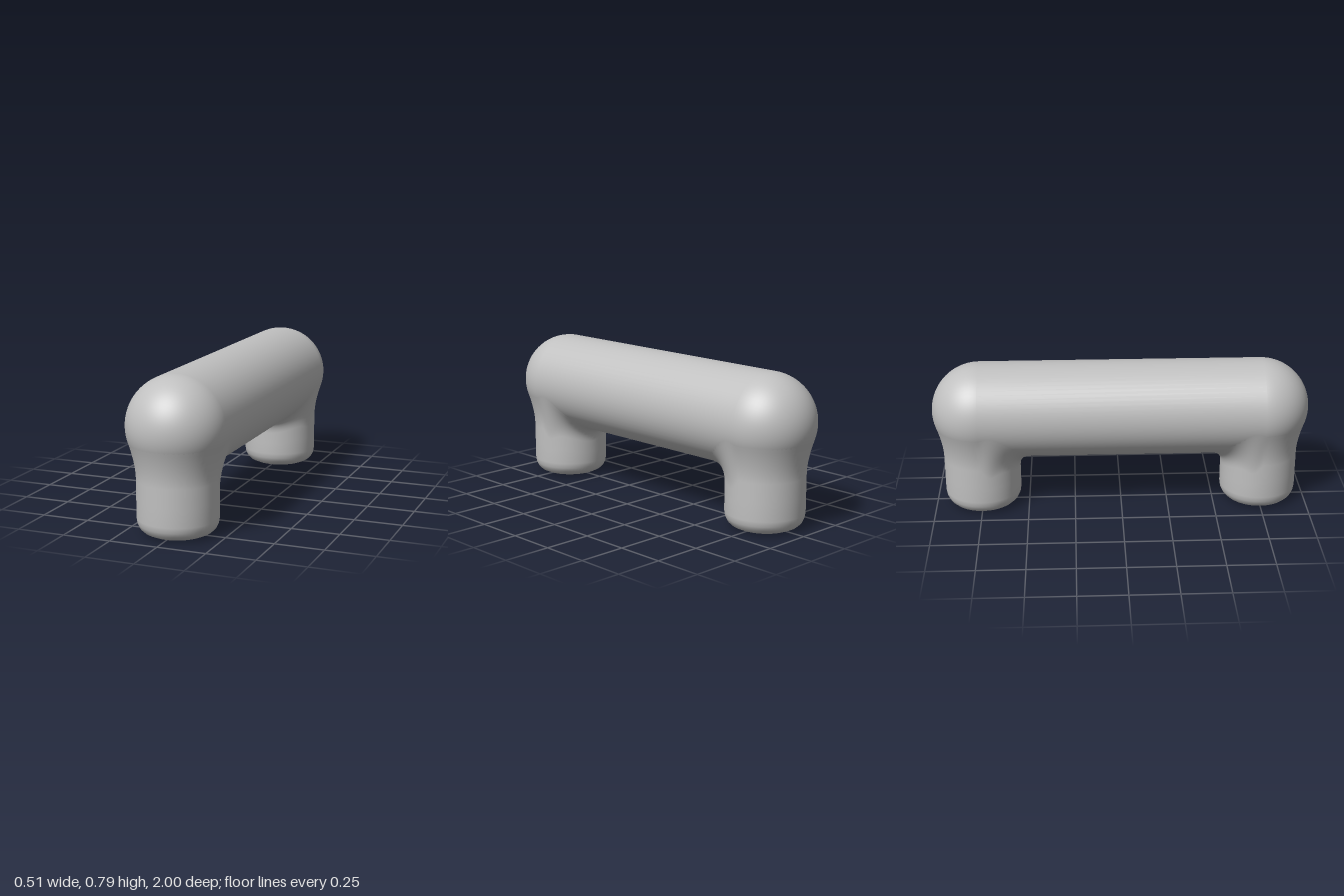
import * as THREE from 'three';

const R = 0.253;       // bar radius
const BAR_Y = 0.537;   // bar axis height
const END_Z = 0.747;   // centre of rounded ends and legs
const LEG_R = 0.204;
const SIDES = 64;

// Height of the bar's underside at radius r and angle a around the leg axis
function underside(r, a) {
  const x = r * Math.cos(a);
  const z = Math.max(0, r * Math.sin(a));
  return BAR_Y - Math.sqrt(Math.max(0, R * R - x * x - z * z));
}

// Points [radius, height] from the centre of the foot up to the bar
function legProfile(a) {
  const points = [[0, 0], [0.1, 0], [0.145, 0.002], [0.172, 0.014], [0.189, 0.03], [0.2, 0.053], [LEG_R, 0.08]];
  // fillet, wider on the inward side, tangent to both leg and bar
  const r1 = 0.24 + 0.05 * Math.max(0, -Math.sin(a));
  const y1 = underside(r1, a);
  const slope = (y1 - underside(r1 - 0.001, a)) / 0.001;
  const yc = y1 - slope * (r1 - LEG_R);
  const y0 = yc - 0.08;
  points.push([LEG_R, (0.08 + y0) / 2]);
  for (let k = 0; k <= 10; k++) {
    const t = k / 10, s = 1 - t;
    points.push([
      (s * s + 2 * s * t) * LEG_R + t * t * r1,
      s * s * y0 + 2 * s * t * yc + t * t * y1,
    ]);
  }
  return points;
}

function legGeometry() {
  const positions = [], index = [];
  let rows = 0;
  for (let j = 0; j < SIDES; j++) {
    const a = (j / SIDES) * Math.PI * 2;
    const profile = legProfile(a);
    rows = profile.length;
    for (const [r, y] of profile) positions.push(r * Math.cos(a), y, r * Math.sin(a));
  }
  for (let j = 0; j < SIDES; j++) {
    const p = j * rows, q = ((j + 1) % SIDES) * rows;
    for (let i = 0; i < rows - 1; i++) {
      if (i > 0) index.push(p + i, p + i + 1, q + i);
      index.push(q + i, p + i + 1, q + i + 1);
    }
  }
  const geometry = new THREE.BufferGeometry();
  geometry.setAttribute('position', new THREE.Float32BufferAttribute(positions, 3));
  geometry.setIndex(index);
  geometry.computeVertexNormals();
  return geometry;
}

export function createModel() {
  const group = new THREE.Group();
  group.name = 'pullHandle';
  const grey = new THREE.MeshStandardMaterial({ color: 0xc0c0c0 });
  grey.name = 'light grey';

  // Grip bar with rounded ends
  const bar = new THREE.Mesh(new THREE.CapsuleGeometry(R, END_Z * 2, 20, SIDES).rotateX(Math.PI / 2), grey);
  bar.name = 'gripBar';
  bar.position.y = BAR_Y;
  group.add(bar);

  // Two legs blending into the bar
  const geometry = legGeometry();
  for (const side of [1, -1]) {
    const leg = new THREE.Mesh(geometry, grey);
    leg.name = side > 0 ? 'frontLeg' : 'backLeg';
    leg.position.z = side * END_Z;
    if (side < 0) leg.rotation.y = Math.PI;
    group.add(leg);
  }
  return group;
}
